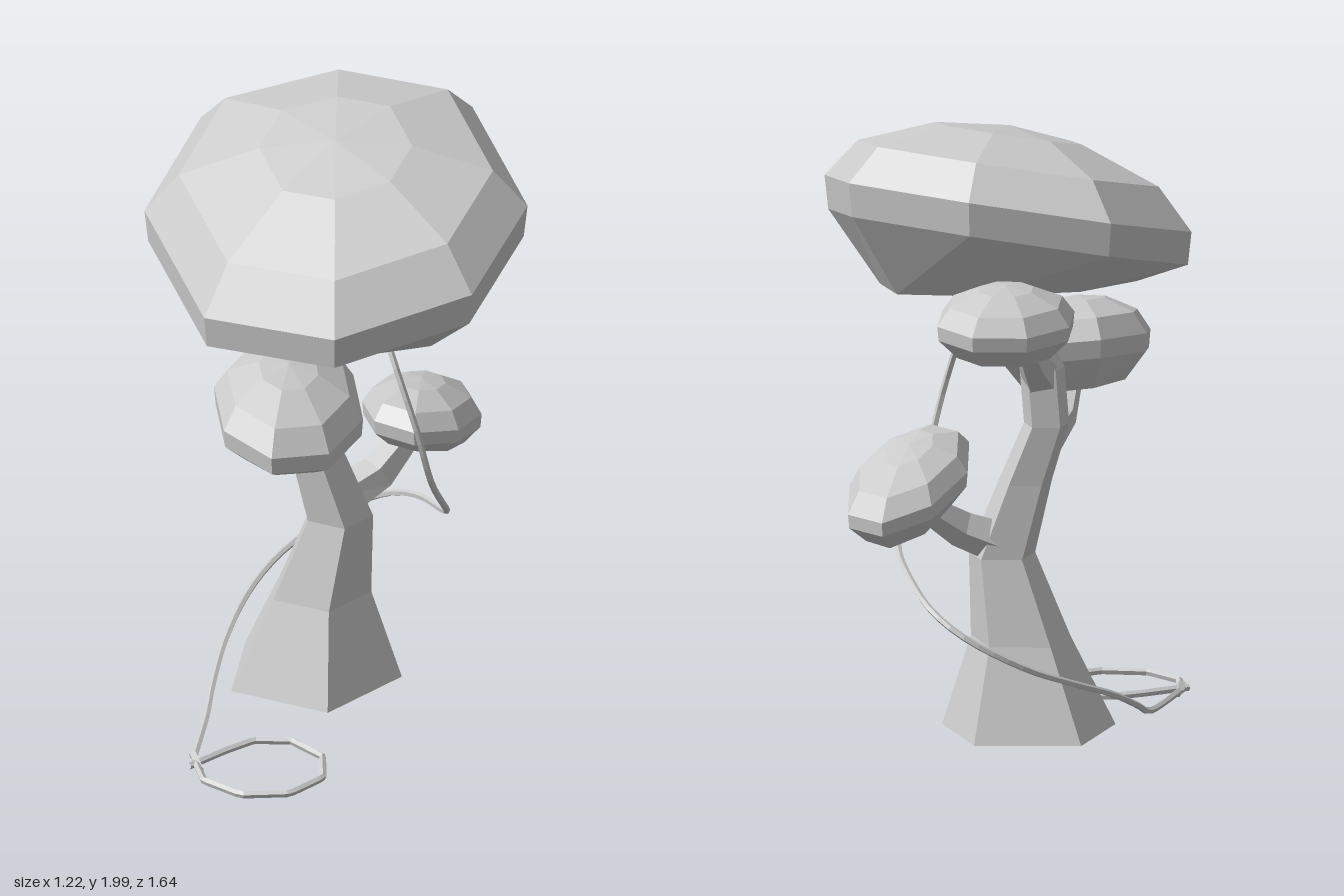
import * as THREE from 'three';

const V = (x, y, z) => new THREE.Vector3(x, y, z);

// Skins a stack of equally sized rings (listed bottom to top) with flat facets
function loft(rings) {
  const n = rings[0].length;
  const index = [];
  for (let r = 0; r < rings.length - 1; r++) {
    for (let i = 0; i < n; i++) {
      const a = r * n + i, b = r * n + (i + 1) % n;
      index.push(a, a + n, b, b, a + n, b + n);
    }
  }
  const geo = new THREE.BufferGeometry().setFromPoints(rings.flat());
  geo.setIndex(index);
  const flat = geo.toNonIndexed();
  flat.computeVertexNormals();
  return flat;
}

// Foliage ring levels: [scale of outline, height 0..1 between underside and top]
const LEVELS = [[0, -0.02], [0.7, 0.06], [0.98, 0.33], [1, 0.53], [0.82, 0.77], [0.4, 0.95], [0, 1]];

// Leaf mass: an eight-sided outline lofted into a tilted cushion; the base has its own tilt
function foliage({ centre, outline, height, tilt, baseTilt }) {
  const [cx, cy, cz] = centre;
  return loft(LEVELS.map(([s, h], level) => outline.map(([x, z]) => {
    const [tx, tz] = level < 2 ? baseTilt : tilt;
    const px = x * s, pz = z * s;
    return V(cx + px, cy + (h - 0.44) * height + tx * px + tz * pz, cz + pz);
  })));
}

// Tapering limb: stations are [x, y, z, radius]; level keeps the rings horizontal
function limb(stations, sides, level = false) {
  const pts = stations.map(([x, y, z]) => V(x, y, z));
  const rings = stations.map(([, , , radius], k) => {
    const t = level ? V(0, 1, 0)
      : pts[Math.min(k + 1, pts.length - 1)].clone().sub(pts[Math.max(k - 1, 0)]).normalize();
    const u = V(1, 0, 0).addScaledVector(t, -t.x).normalize();
    const v = u.clone().cross(t);
    return Array.from({ length: sides }, (_, i) => {
      const a = i / sides * Math.PI * 2;
      return pts[k].clone().addScaledVector(u, Math.cos(a) * radius).addScaledVector(v, Math.sin(a) * radius);
    });
  });
  const first = pts[0], last = pts[pts.length - 1];
  return loft([Array(sides).fill(first), ...rings, Array(sides).fill(last)]);
}

// Octagon used for the smaller leaf masses
const oval = (rx, rz, turn) => Array.from({ length: 8 }, (_, i) => {
  const a = i / 8 * Math.PI * 2 + turn;
  return [rx * Math.cos(a), rz * Math.sin(a)];
});

export function createModel() {
  const group = new THREE.Group();
  const material = new THREE.MeshStandardMaterial({ color: 0xcccccc, flatShading: true });
  const add = (name, geometry) => {
    const mesh = new THREE.Mesh(geometry, material);
    mesh.name = name;
    group.add(mesh);
    return mesh;
  };

  // Bent five-sided trunk
  add('trunk', limb([
    [-0.085, 0.025, -0.065, 0.288],
    [-0.06, 0.32, -0.07, 0.165],
    [0.0, 0.59, -0.075, 0.11],
    [-0.075, 0.83, -0.065, 0.088],
    [-0.145, 1.02, -0.065, 0.075],
    [-0.13, 1.2, -0.065, 0.075],
    [0.0, 1.46, -0.065, 0.066],
  ], 5, true));

  // Branches
  add('frontBranch', limb([
    [-0.1, 0.9, -0.08, 0.065], [-0.11, 0.99, 0.2, 0.048], [-0.11, 1.14, 0.32, 0.035],
  ], 5));
  add('leftBranch', limb([
    [-0.01, 0.63, -0.08, 0.075], [0.11, 0.69, -0.17, 0.062], [0.23, 0.81, -0.32, 0.036],
  ], 5));
  add('backBranch', limb([
    [-0.13, 1.16, -0.06, 0.068], [-0.15, 1.25, -0.22, 0.048], [-0.19, 1.42, -0.47, 0.034],
  ], 5));

  // Leaf masses
  add('crown', foliage({
    centre: [0, 1.66, 0], height: 0.54, tilt: [0.08, -0.23], baseTilt: [-0.08, -0.1],
    outline: [[0.61, -0.02], [0.49, 0.4], [0.08, 0.61], [-0.35, 0.5],
      [-0.61, -0.01], [-0.49, -0.45], [-0.07, -0.61], [0.37, -0.49]],
  }));
  add('frontFoliage', foliage({
    centre: [-0.1, 1.18, 0.36], height: 0.295, tilt: [-0.13, -0.13], baseTilt: [-0.1, -0.03],
    outline: oval(0.24, 0.31, 0.05),
  }));
  add('backFoliage', foliage({
    centre: [-0.17, 1.44, -0.54], height: 0.23, tilt: [0.03, 0.02], baseTilt: [0.03, 0.03],
    outline: oval(0.22, 0.28, 0.08),
  }));
  add('leftFoliage', foliage({
    centre: [0.235, 0.845, -0.3], height: 0.23, tilt: [-0.1, 0.25], baseTilt: [-0.1, 0.32],
    outline: oval(0.187, 0.32, -0.1),
  }));

  // Vine hanging from the crown, sweeping behind the trunk to the ground
  const vine = new THREE.CatmullRomCurve3([
    V(0.1, 1.5, 0.0), V(0.15, 1.38, 0.07), V(0.22, 1.22, 0.15), V(0.28, 1.04, 0.17),
    V(0.32, 0.82, 0.11), V(0.35, 0.66, -0.02), V(0.33, 0.6, -0.12), V(0.22, 0.54, -0.32),
    V(0.1, 0.47, -0.45), V(-0.02, 0.4, -0.48), V(-0.19, 0.3, -0.4), V(-0.29, 0.23, -0.25),
    V(-0.35, 0.15, -0.02), V(-0.37, 0.06, 0.21), V(-0.37, 0.035, 0.27), V(-0.37, 0.035, 0.62),
  ]);
  add('vine', new THREE.TubeGeometry(vine, 56, 0.011, 5));

  // Angular loop lying on the ground, tied by a small knot
  const loop = new THREE.CatmullRomCurve3([
    [-0.36, 0.62], [-0.32, 0.73], [-0.19, 0.81], [-0.04, 0.78], [0.05, 0.66],
    [0.03, 0.52], [-0.08, 0.43], [-0.2, 0.44], [-0.28, 0.52], [-0.38, 0.64],
  ].map(([x, z]) => V(x, 0.035, z)), false, 'catmullrom', 0);
  add('vineLoop', new THREE.TubeGeometry(loop, 54, 0.012, 5));
  const knot = add('vineKnot', new THREE.BoxGeometry(0.02, 0.03, 0.07));
  knot.rotation.set(0.6, 0.5, 0);
  knot.position.set(-0.36, 0.035, 0.61);

  return group;
}
